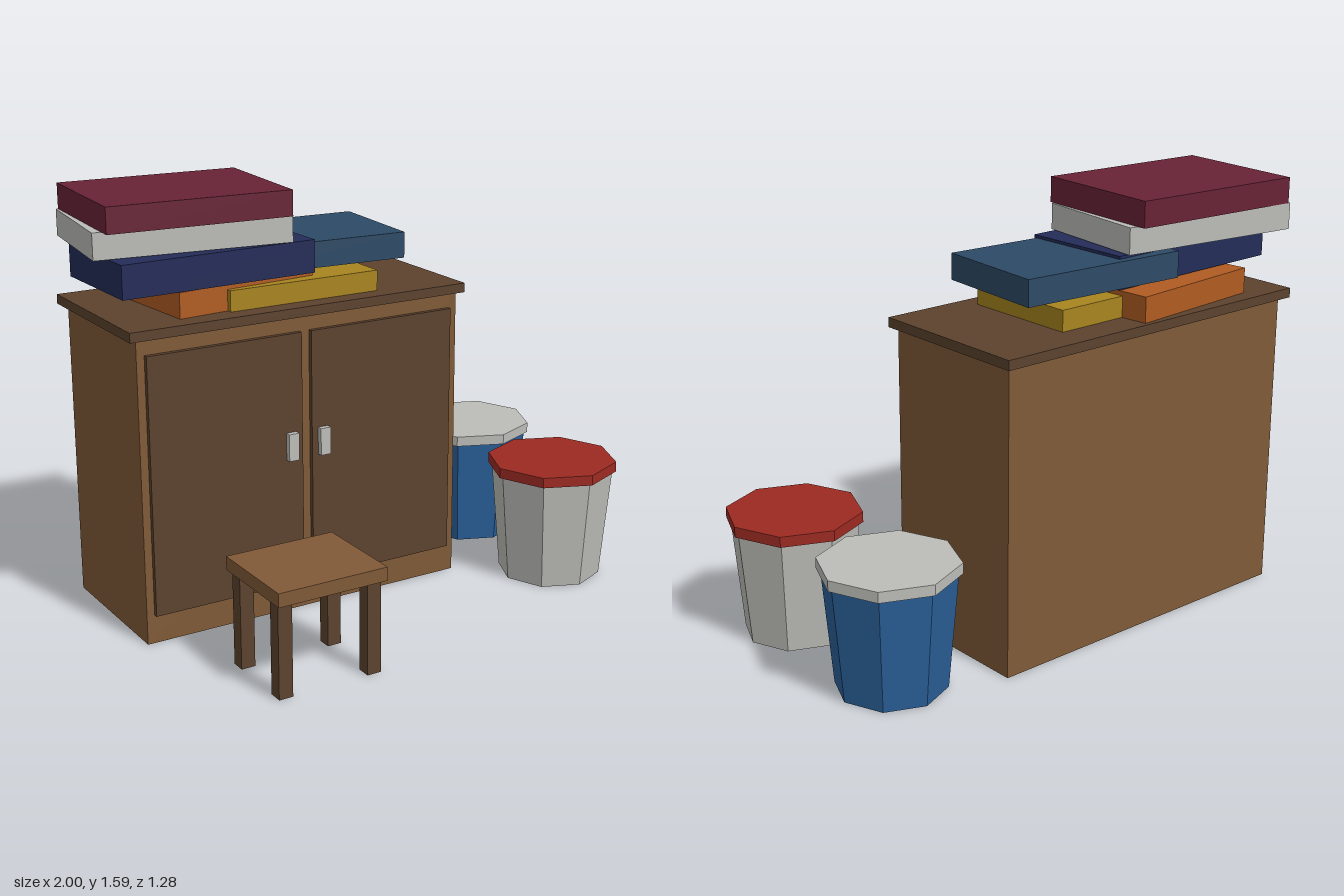
import * as THREE from 'three';

const mat = (name, color) => {
  const m = new THREE.MeshStandardMaterial({ color });
  m.name = name;
  return m;
};

export function createModel() {
  const wood = mat('wood', 0x805a37);
  const darkWood = mat('dark wood', 0x5c422e);
  const grey = mat('light grey', 0xbcbcb8);
  const red = mat('red', 0x9c2a22);
  const blue = mat('blue', 0x2a5f98);
  const maroon = mat('maroon', 0x682336);
  const navy = mat('navy', 0x242c58);
  const slate = mat('slate blue', 0x2d4a66);
  const orange = mat('orange', 0xb05c22);
  const yellow = mat('mustard', 0xa88420);

  const model = new THREE.Group();
  model.name = 'cupboardStoolAndBins';
  const group = (name) => {
    const g = new THREE.Group();
    g.name = name;
    model.add(g);
    return g;
  };

  // Box given by its limits on each axis
  const block = (parent, name, material, [x0, x1], [y0, y1], [z0, z1]) => {
    const mesh = new THREE.Mesh(new THREE.BoxGeometry(x1 - x0, y1 - y0, z1 - z0), material);
    mesh.position.set((x0 + x1) / 2, (y0 + y1) / 2, (z0 + z1) / 2);
    mesh.name = name;
    parent.add(mesh);
    return mesh;
  };

  // Cupboard with overhanging top, two doors and handles
  const cupboard = group('cupboard');
  block(cupboard, 'cupboardBody', wood, [-0.92, 0.41], [0, 1.14], [-0.61, -0.01]);
  block(cupboard, 'cupboardTop', darkWood, [-0.95, 0.436], [1.14, 1.176], [-0.64, 0.012]);
  block(cupboard, 'rightDoor', darkWood, [-0.89, -0.277], [0.11, 1.083], [-0.015, 0.008]);
  block(cupboard, 'leftDoor', darkWood, [-0.237, 0.375], [0.11, 1.083], [-0.015, 0.008]);
  block(cupboard, 'rightHandle', grey, [-0.346, -0.304], [0.606, 0.71], [0.006, 0.03]);
  block(cupboard, 'leftHandle', grey, [-0.212, -0.17], [0.606, 0.71], [0.006, 0.03]);

  // Stool
  const stool = group('stool');
  block(stool, 'stoolSeat', wood, [-0.735, -0.309], [0.352, 0.403], [0.265, 0.64]);
  for (const x of [-0.698, -0.347])
    for (const z of [0.317, 0.588])
      block(stool, 'stoolLeg', darkWood, [x - 0.027, x + 0.027], [0, 0.352], [z - 0.027, z + 0.027]);

  // Eight-sided tapered bins with lids
  const bin = (name, z, bodyMat, lidMat) => {
    const g = group(name);
    g.position.set(0.745, 0, z);
    const body = new THREE.Mesh(new THREE.CylinderGeometry(0.238, 0.2, 0.43, 8).toNonIndexed(), bodyMat);
    const lid = new THREE.Mesh(new THREE.CylinderGeometry(0.252, 0.252, 0.04, 8).toNonIndexed(), lidMat);
    body.geometry.computeVertexNormals();
    lid.geometry.computeVertexNormals();
    body.position.y = 0.215;
    lid.position.y = 0.45;
    body.name = 'binBody';
    lid.name = 'binLid';
    g.add(body, lid);
  };
  bin('frontBin', 0.19, grey, red);
  bin('backBin', -0.383, blue, grey);

  // Loosely stacked boxes: name, material, width, depth, bottom, top, x, z, turn
  const stack = group('stackedBoxes');
  [
    ['mustardBox', yellow, 0.615, 0.455, 1.176, 1.254, -0.218, -0.29, 0],
    ['orangeBox', orange, 0.567, 0.508, 1.176, 1.271, -0.4625, -0.345, 0.09],
    ['navyBox', navy, 0.77, 0.436, 1.274, 1.397, -0.561, -0.283, 0.025],
    ['slateBox', slate, 0.67, 0.45, 1.288, 1.386, -0.111, -0.308, -0.07],
    ['greyBox', grey, 0.739, 0.473, 1.4, 1.498, -0.605, -0.342, -0.125],
    ['maroonBox', maroon, 0.698, 0.527, 1.498, 1.594, -0.605, -0.333, -0.072],
  ].forEach(([name, m, w, d, y0, y1, x, z, turn]) => {
    const box = block(stack, name, m, [x - w / 2, x + w / 2], [y0, y1], [z - d / 2, z + d / 2]);
    box.rotation.y = turn;
  });

  return model;
}
